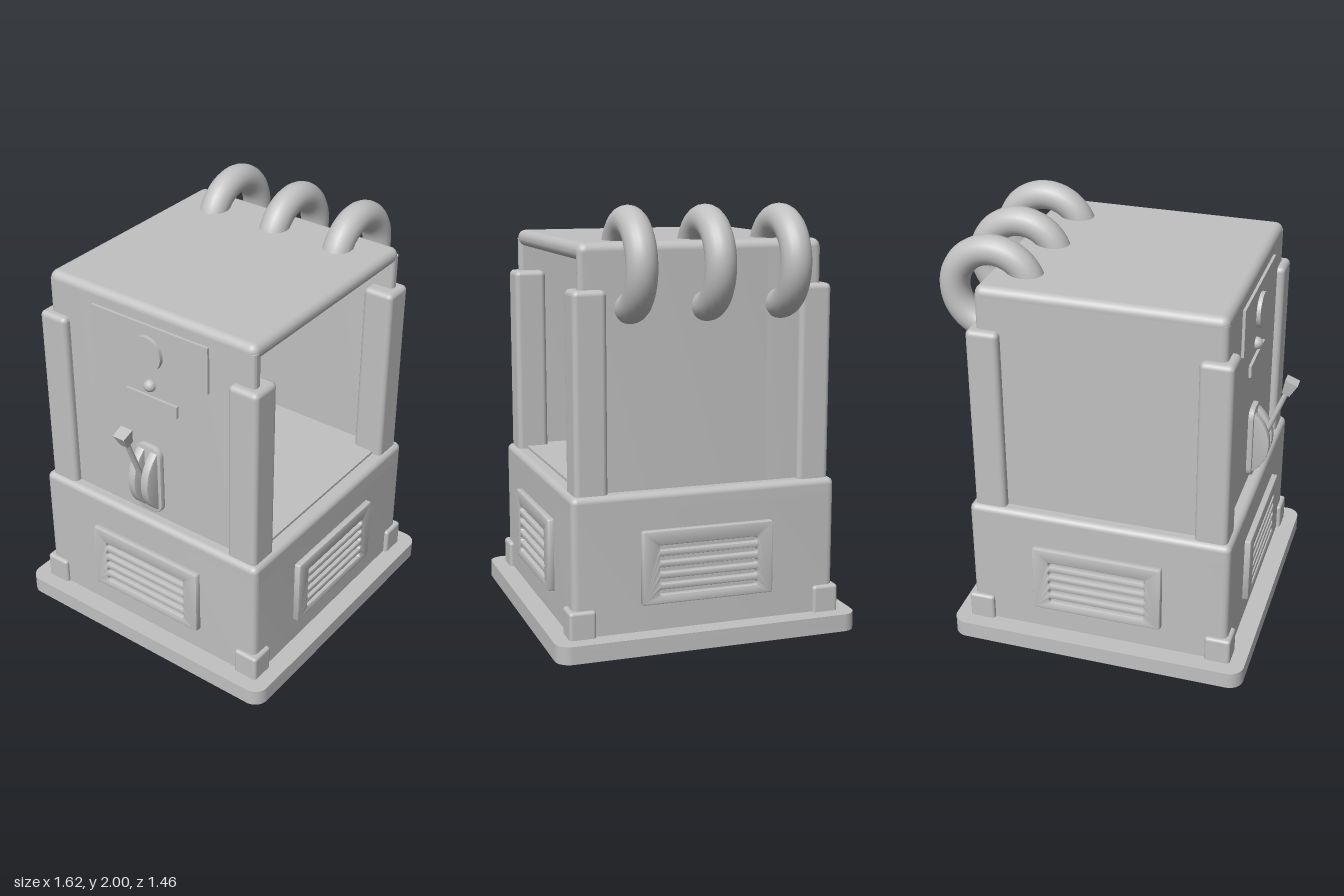
import * as THREE from 'three';
import { toCreasedNormals } from 'three/addons/utils/BufferGeometryUtils.js';
import { RoundedBoxGeometry } from 'three/addons/geometries/RoundedBoxGeometry.js';

const CX = -0.022; // middle of the housing, which sits slightly right of the lever
const grey = new THREE.MeshStandardMaterial({ color: 0xc0c0c0 });
grey.name = 'plain grey';

function add(parent, name, geometry, x = 0, y = 0, z = 0) {
  const mesh = new THREE.Mesh(geometry, grey);
  mesh.name = name;
  mesh.position.set(x, y, z);
  parent.add(mesh);
  return mesh;
}

// Rounded rectangle outline centred on (cx, cy)
function roundRect(path, w, h, r, cx = 0, cy = 0) {
  const x = w / 2, y = h / 2;
  path.absarc(cx + x - r, cy - y + r, r, -Math.PI / 2, 0);
  path.absarc(cx + x - r, cy + y - r, r, 0, Math.PI / 2);
  path.absarc(cx - x + r, cy + y - r, r, Math.PI / 2, Math.PI);
  path.absarc(cx - x + r, cy - y + r, r, Math.PI, Math.PI * 1.5);
  path.closePath();
  return path;
}

function extrude(shape, depth, bevel = 0) {
  const geometry = new THREE.ExtrudeGeometry(shape, {
    depth: depth - bevel, curveSegments: 6, bevelEnabled: bevel > 0,
    bevelSize: bevel, bevelThickness: bevel, bevelOffset: -bevel, bevelSegments: 2,
  });
  return toCreasedNormals(geometry, 0.6);
}

// Upright slab with rounded vertical edges between two heights, with an optional square hole
function slab(w, d, r, y0, y1, hole = 0) {
  const shape = roundRect(new THREE.Shape(), w, d, r);
  if (hole) shape.holes.push(roundRect(new THREE.Path(), hole, hole, r * 0.7));
  return extrude(shape, y1 - y0).rotateX(-Math.PI / 2).translate(0, y0, 0);
}

// Box with all edges rounded, between two heights
function softBox(w, d, r, y0, y1) {
  return new RoundedBoxGeometry(w, y1 - y0, d, 4, r).translate(0, (y0 + y1) / 2, 0);
}

function buildBase(root) {
  // Hollow foot: thin lip under a plate
  add(root, 'baseLip', slab(1.46, 1.46, 0.07, 0, 0.055, 1.42), CX);
  add(root, 'basePlate', slab(1.46, 1.46, 0.07, 0.055, 0.083, 1.22), CX);
  // Lower housing with a softened top edge
  add(root, 'lowerHousing', slab(1.275, 1.275, 0.03, 0.075, 0.66), CX);
  add(root, 'lowerHousingTop', softBox(1.275, 1.275, 0.03, 0.6, 0.727), CX);

  for (const sx of [-1, 1]) for (const sz of [-1, 1]) {
    add(root, 'cornerBlock', softBox(0.125, 0.125, 0.015, 0.03, 0.21), CX + sx * 0.595, 0, sz * 0.595);
    add(root, 'cornerPost', softBox(0.155, 0.155, 0.025, 0.69, 1.637), CX + sx * 0.537, 0, sz * 0.537);
  }

  // Slotted vent panel on each side
  const panel = roundRect(new THREE.Shape(), 0.636, 0.345, 0.01);
  for (let i = -2; i <= 2; i++) {
    panel.holes.push(roundRect(new THREE.Path(), 0.475, 0.024, 0.008, 0, i * 0.052 - 0.013));
  }
  const ventGeometry = extrude(panel, 0.03, 0.008);
  for (let i = 0; i < 4; i++) {
    const a = i * Math.PI / 2;
    const vent = add(root, 'ventPanel', ventGeometry, CX + Math.sin(a) * 0.637, 0.383, Math.cos(a) * 0.637);
    vent.rotation.y = a;
  }
}

function buildCabinet(root) {
  // Open-fronted cabinet: solid back, two side walls, roof and floor
  add(root, 'cabinetBack', slab(1.155, 0.297, 0.03, 0.7, 1.8), CX, 0, -0.4285);
  for (const s of [-1, 1]) {
    add(root, 'cabinetWall', slab(0.052, 0.977, 0.02, 0.7, 1.8), CX + s * 0.5515, 0, 0.089);
  }
  add(root, 'cabinetRoof', softBox(1.155, 1.155, 0.038, 1.76, 1.84), CX);
  add(root, 'cabinetFloor', new THREE.BoxGeometry(1.08, 0.04, 0.9), CX, 0.72, 0.12);

  // Three coils that leave the roof and return through the side wall
  const start = THREE.MathUtils.degToRad(-93), sweep = THREE.MathUtils.degToRad(255);
  const coil = new THREE.TorusGeometry(0.19, 0.07, 20, 48, sweep).rotateZ(start);
  for (const z of [0.347, -0.013, -0.37]) add(root, 'coil', coil, 0.54, 1.741, z);
}

function buildControls(root) {
  const side = -0.6;
  const disc = (r, t) => new THREE.CylinderGeometry(r, r, t, 28).rotateZ(Math.PI / 2);
  // Control plate with a large button, a small knob and a slot plate
  add(root, 'controlPlate', new THREE.BoxGeometry(0.018, 0.23, 0.65), side - 0.004, 1.645, 0.015);
  add(root, 'roundButton', disc(0.085, 0.04), side - 0.012, 1.625, 0.01);
  add(root, 'smallKnob', new THREE.SphereGeometry(0.03, 16, 10), side - 0.005, 1.45, 0.01);
  add(root, 'slotPlate', new THREE.BoxGeometry(0.018, 0.06, 0.29), side - 0.004, 1.365, 0.02);

  // Lever mount: long rounded plate with two curved cheeks
  const mount = extrude(roundRect(new THREE.Shape(), 0.15, 0.37, 0.05), 0.03, 0.006);
  add(root, 'leverMount', mount, side + 0.005, 0.945, -0.005).rotation.y = -Math.PI / 2;
  const cheek = new THREE.Shape();
  cheek.absarc(0, 0, 0.2, Math.PI - 1.04, Math.PI + 1.04);
  cheek.closePath();
  const cheekGeometry = extrude(cheek, 0.036, 0.005);
  for (const z of [-0.058, 0.017]) add(root, 'leverCheek', cheekGeometry, -0.502, 0.945, z);

  // Lever rod and its square flared grip, tilted outwards
  const lever = new THREE.Group();
  lever.name = 'lever';
  lever.position.set(-0.615, 0.83, -0.005);
  lever.rotation.z = 0.36;
  add(lever, 'leverRod', new THREE.CylinderGeometry(0.013, 0.013, 0.42, 12), 0, 0.21, 0);
  const grip = new THREE.CylinderGeometry(0.046, 0.028, 0.075, 4).rotateY(Math.PI / 4);
  add(lever, 'leverGrip', toCreasedNormals(grip, 0.5), 0, 0.45, 0);
  root.add(lever);
}

export function createModel() {
  const root = new THREE.Group();
  root.name = 'coiledCabinet';
  buildBase(root);
  buildCabinet(root);
  buildControls(root);
  return root;
}
